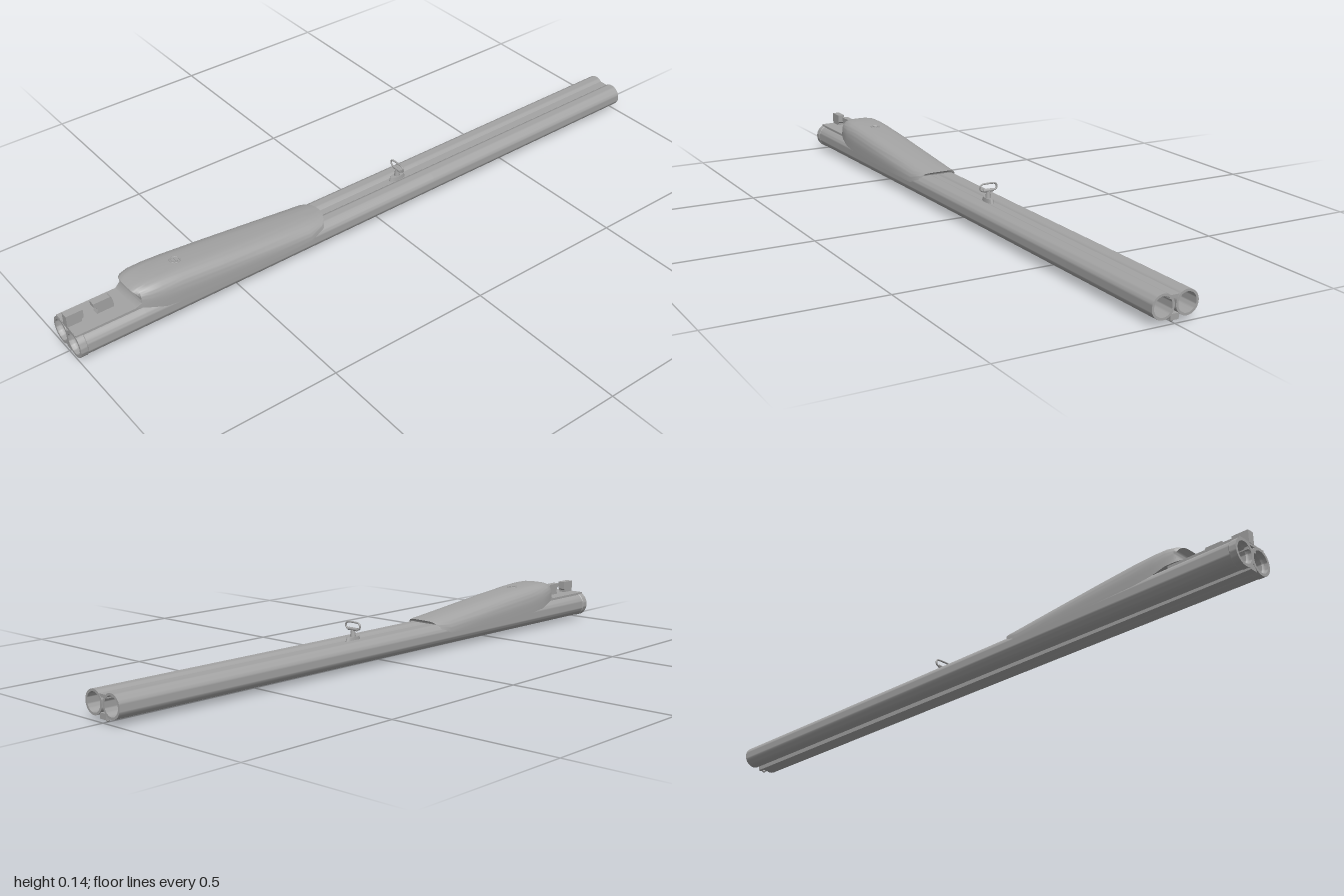
import * as THREE from 'three';
import { toCreasedNormals } from 'three/addons/utils/BufferGeometryUtils.js';

const steel = new THREE.MeshStandardMaterial({ color: 0xa3a3a3, side: THREE.DoubleSide });
steel.name = 'grey steel';

function add(parent, name, geometry, x = 0, y = 0, z = 0) {
  const mesh = new THREE.Mesh(geometry, steel);
  mesh.name = name;
  mesh.position.set(x, y, z);
  parent.add(mesh);
  return mesh;
}

// Hollow tapering tube along z with a thicker breech rim
function barrelGeometry() {
  const profile = [
    [0.027, -1], [0.0335, -1], [0.034, -0.2], [0.0355, 0.3], [0.0375, 0.8], [0.038, 0.978],
    [0.0395, 0.98], [0.0395, 1], [0.031, 1], [0.0305, 0.99], [0.027, 0.985], [0.027, -1],
  ].map(([r, z]) => new THREE.Vector2(r, z));
  const g = new THREE.LatheGeometry(profile, 48).rotateX(Math.PI / 2);
  return toCreasedNormals(g, 0.6);
}

// Side outline given as [z, y], extruded across x
function sidePlate(points, width) {
  const shape = new THREE.Shape(points.map(([z, y]) => new THREE.Vector2(z, y)));
  return new THREE.ExtrudeGeometry(shape, { depth: width, bevelEnabled: false })
    .rotateY(-Math.PI / 2).translate(width / 2, 0, 0);
}

// Open-bottomed shell lofted from rounded arches, with a hollowed front face
function foreEndGeometry() {
  // z, top, bottom edge, half width, roundness
  const stations = [
    [0.187, 0.094, 0.082, 0.052, 2.2], [0.215, 0.097, 0.070, 0.063, 2.4],
    [0.26, 0.102, 0.052, 0.0715, 2.6], [0.4, 0.115, 0.053, 0.0735, 3],
    [0.55, 0.130, 0.055, 0.0745, 3.3], [0.68, 0.141, 0.059, 0.0745, 3.6],
    [0.74, 0.1445, 0.066, 0.0735, 3.6], [0.78, 0.1445, 0.080, 0.069, 3.6],
    [0.805, 0.141, 0.086, 0.061, 3.8], [0.822, 0.135, 0.088, 0.054, 4],
  ];
  const N = 32, last = stations.length - 1;
  const pos = [], index = [];
  stations.forEach(([z, top, bottom, w, n], s) => {
    for (let j = 0; j <= N; j++) {
      const a = (j / N) * Math.PI;
      const c = Math.cos(a), u = Math.sign(c) * Math.abs(c) ** (2 / n);
      const v = Math.max(0, Math.sin(a)) ** (2 / n);
      let dz = 0;
      if (s === 0) dz = 0.018 * u * u;
      if (s === last) dz = -0.016 * Math.sin(Math.PI * v);
      pos.push(w * u, bottom + (top - bottom) * v, z + dz);
    }
  });
  const row = N + 1;
  for (let s = 0; s < last; s++) {
    for (let j = 0; j < N; j++) {
      const p = s * row + j;
      index.push(p, p + 1, p + row, p + 1, p + row + 1, p + row);
    }
  }
  // End faces join mirrored points of the first and last arch
  for (let j = 0; j < N / 2; j++) {
    const f = last * row;
    index.push(f + j, f + j + 1, f + N - j, f + j + 1, f + N - j - 1, f + N - j);
    index.push(j, N - j, j + 1, j + 1, N - j, N - j - 1);
  }
  const g = new THREE.BufferGeometry();
  g.setAttribute('position', new THREE.Float32BufferAttribute(pos, 3));
  g.setIndex(index);
  return toCreasedNormals(g, 0.6);
}

export function createModel() {
  const model = new THREE.Group();
  model.name = 'twinBarrels';

  // Barrels, mirrored
  const barrel = barrelGeometry();
  for (const side of [1, -1]) {
    add(model, side > 0 ? 'leftBarrel' : 'rightBarrel', barrel, side * 0.0352, 0.0475, 0);
  }

  // Ribs joining the barrels
  add(model, 'sightingRib', new THREE.BoxGeometry(0.024, 0.016, 1.998), 0, 0.017, 0);
  add(model, 'joiningRib', new THREE.BoxGeometry(0.034, 0.009, 1.998), 0, 0.0685, 0);
  add(model, 'beadSight', new THREE.SphereGeometry(0.005, 16, 12), 0, 0.005, -0.985);

  // Flat and locking lugs at the breech
  add(model, 'breechFlat', new THREE.BoxGeometry(0.108, 0.008, 0.22), 0, 0.0835, 0.889);
  add(model, 'rearLug', sidePlate([
    [0.957, 0.086], [1, 0.086], [1, 0.123], [0.951, 0.123], [0.951, 0.099], [0.957, 0.094],
  ], 0.022));
  add(model, 'frontLug', sidePlate([
    [0.862, 0.086], [0.914, 0.086], [0.908, 0.098], [0.912, 0.108], [0.92, 0.112],
    [0.92, 0.123], [0.87, 0.123], [0.865, 0.116], [0.862, 0.1],
  ], 0.02));

  // Fore-end with its screw
  add(model, 'foreEnd', foreEndGeometry());
  const screw = new THREE.Group();
  screw.name = 'foreEndScrew';
  screw.position.set(0, 0.1396, 0.665);
  screw.rotation.x = -0.08;
  model.add(screw);
  add(screw, 'screwCollar', new THREE.TorusGeometry(0.014, 0.002, 8, 32).rotateX(Math.PI / 2));
  add(screw, 'screwHead', new THREE.CylinderGeometry(0.009, 0.009, 0.004, 24));
  add(screw, 'screwSlot', new THREE.BoxGeometry(0.016, 0.001, 0.002), 0, 0.0022, 0);

  // Sling swivel: foot, stud and wire loop
  const swivel = new THREE.Group();
  swivel.name = 'slingSwivel';
  swivel.position.set(0, 0, -0.108);
  model.add(swivel);
  add(swivel, 'swivelFoot', new THREE.CylinderGeometry(0.01, 0.012, 0.015, 24).scale(1, 1, 2.5), 0, 0.0775, 0);
  add(swivel, 'swivelStud', new THREE.CylinderGeometry(0.006, 0.009, 0.022, 20), 0, 0.094, 0);
  add(swivel, 'swivelBarrel', new THREE.CylinderGeometry(0.005, 0.005, 0.034, 16).rotateZ(Math.PI / 2), 0, 0.107, 0);
  const loop = [];
  for (const [cx, start] of [[0.018, -Math.PI / 2], [-0.018, Math.PI / 2]]) {
    for (let i = 0; i <= 6; i++) {
      const a = start + (i / 6) * Math.PI;
      loop.push(new THREE.Vector3(cx + 0.01 * Math.cos(a), 0.117 + 0.01 * Math.sin(a), 0));
    }
  }
  const curve = new THREE.CatmullRomCurve3(loop, true);
  add(swivel, 'swivelLoop', new THREE.TubeGeometry(curve, 64, 0.0028, 8, true));

  return model;
}
